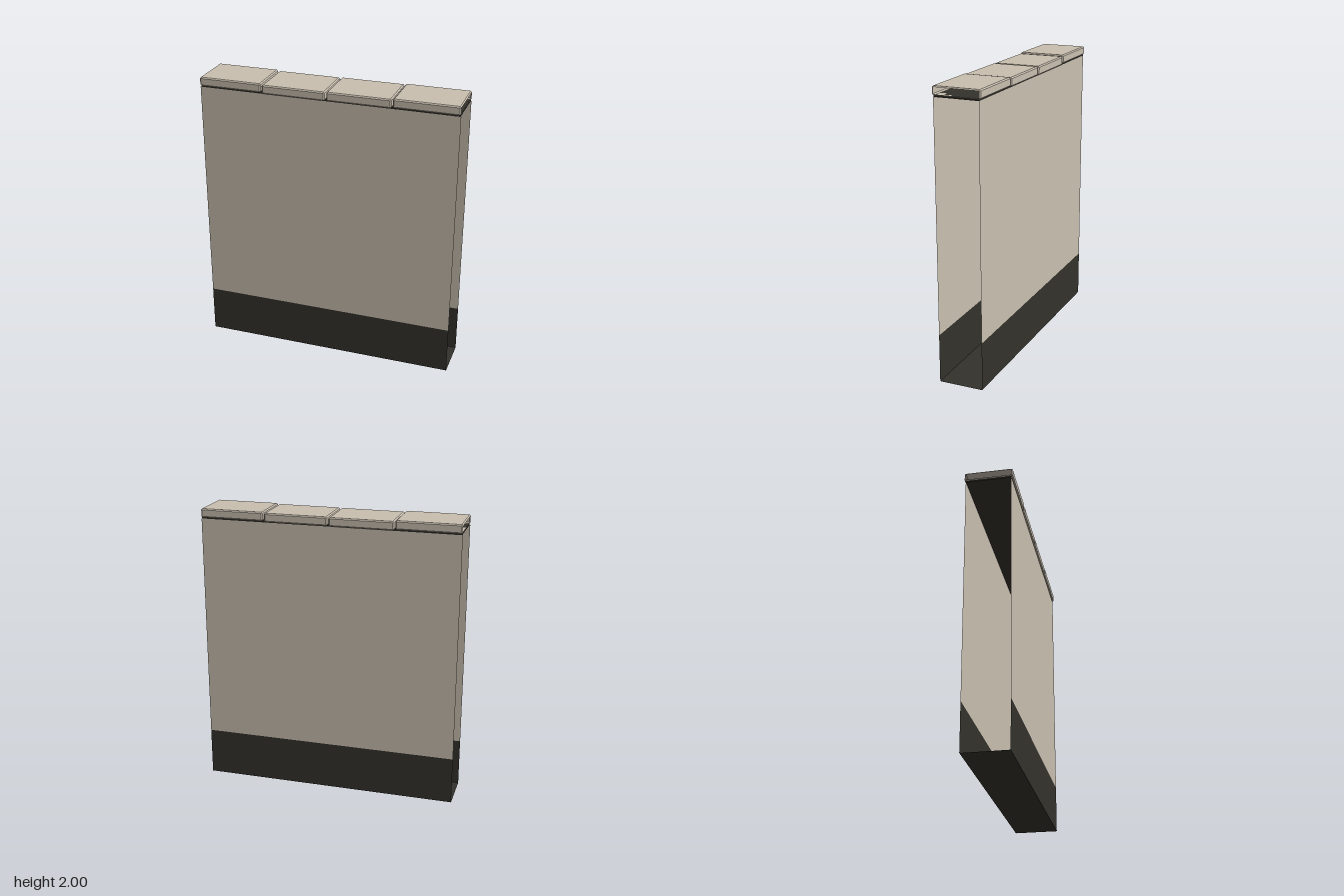
import * as THREE from 'three';

const stone = new THREE.MeshStandardMaterial({ color: 0xc9bfb0, side: THREE.DoubleSide });
stone.name = 'paleStone';
const dark = new THREE.MeshStandardMaterial({ color: 0x34322b, side: THREE.DoubleSide });
dark.name = 'darkPlinth';

const HALF_X = 0.905, HALF_Z = 0.155, PLINTH = 0.335, WALL_TOP = 1.93;

// Chamfered coping block, lofted along x; either end can be left open
function copingGeometry(x0, x1, y0, y1, w, b, closeLeft, closeRight) {
  const corners = [[1, 1], [-1, 1], [-1, -1], [1, -1]]; // signs of y, z
  const cy = (y0 + y1) / 2, h = (y1 - y0) / 2;
  const ring = (x, full) => corners.flatMap(([sy, sz], i) => {
    const e = full ? b : 0;
    const alongZ = [x, cy + sy * (h - b), sz * (w - b + e)];
    const alongY = [x, cy + sy * (h - b + e), sz * (w - b)];
    return i % 2 ? [alongZ, alongY] : [alongY, alongZ];
  });
  const rings = [ring(x0, false), ring(x0 + b, true), ring(x1 - b, true), ring(x1, false)];
  const pos = [];
  const tri = (...pts) => pts.forEach((p) => pos.push(...p));
  for (let i = 0; i < 3; i++) {
    for (let j = 0; j < 8; j++) {
      const k = (j + 1) % 8;
      tri(rings[i][j], rings[i][k], rings[i + 1][k]);
      tri(rings[i][j], rings[i + 1][k], rings[i + 1][j]);
    }
  }
  for (let j = 1; j < 7; j++) {
    if (closeLeft) tri(rings[0][0], rings[0][j + 1], rings[0][j]);
    if (closeRight) tri(rings[3][0], rings[3][j], rings[3][j + 1]);
  }
  const g = new THREE.BufferGeometry();
  g.setAttribute('position', new THREE.Float32BufferAttribute(pos, 3));
  g.computeVertexNormals();
  return g;
}

export function createModel() {
  const model = new THREE.Group();
  model.name = 'wallSection';
  const add = (name, geometry, material) => {
    const mesh = new THREE.Mesh(geometry, material);
    mesh.name = name;
    model.add(mesh);
    return mesh;
  };

  // Two open-ended wall faces, each with a dark plinth band
  for (const [side, s] of [['front', 1], ['back', -1]]) {
    for (const [part, y0, y1, mat] of [
      ['Plinth', 0, PLINTH, dark],
      ['Wall', PLINTH, WALL_TOP, stone],
    ]) {
      const panel = add(side + part, new THREE.PlaneGeometry(2 * HALF_X, y1 - y0), mat);
      panel.position.set(0, (y0 + y1) / 2, s * HALF_Z);
      if (s < 0) panel.rotation.y = Math.PI;
    }
  }

  // Underside of the plinth
  const base = add('plinthBase', new THREE.PlaneGeometry(2 * HALF_X, 2 * HALF_Z), dark);
  base.rotation.x = Math.PI / 2;

  // Thin dark bed between wall and coping
  const bed = add('copingBed', new THREE.BoxGeometry(2 * HALF_X - 0.01, 0.009, 2 * HALF_Z), dark);
  bed.position.y = WALL_TOP + 0.0045;

  // Four coping blocks, the outer pair set slightly higher with open outer ends
  const blocks = [
    [-0.905, -0.461, 0.007],
    [-0.452, -0.008, 0],
    [0.004, 0.447, 0.002],
    [0.457, 0.904, 0.007],
  ];
  blocks.forEach(([x0, x1, lift], i) => {
    add('copingBlock' + (i + 1),
      copingGeometry(x0, x1, 1.932 + lift, 1.993 + lift, 0.165, 0.008, i > 0, i < 3), stone);
  });

  return model;
}
